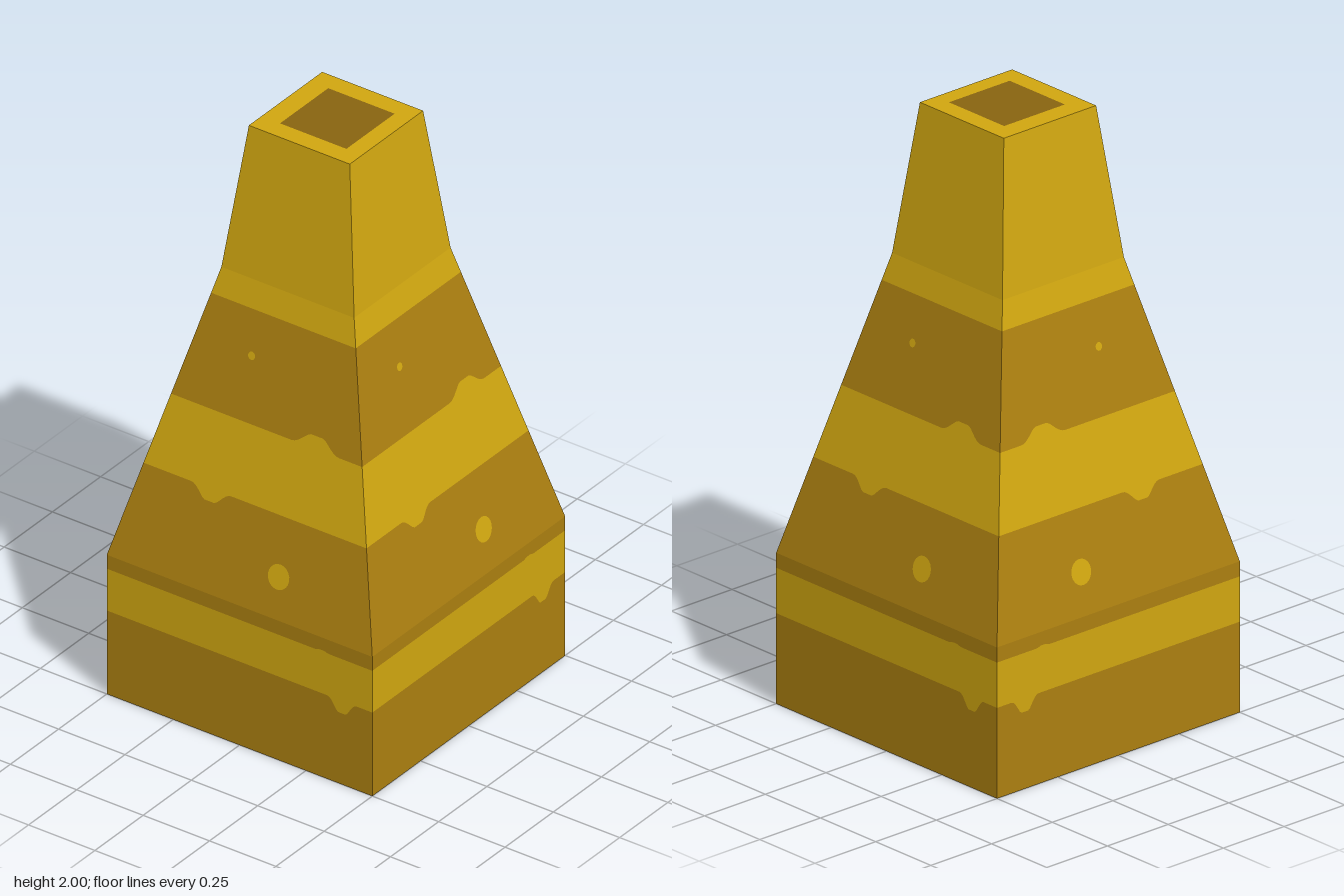
import * as THREE from 'three';

const mat = (name, color) => {
  const m = new THREE.MeshStandardMaterial({ color, side: THREE.DoubleSide });
  m.name = name;
  return m;
};

// Half width of the tower at height y
const half = (y) => {
  if (y <= 0.5) return 0.5;
  if (y <= 1.5) return 0.5 - 0.25 * (y - 0.5);
  return 0.25 - 0.12 * (y - 1.5);
};

// Stripe edges: base height, with an optional drip or bulge [centre, half span, height]
const edges = [
  { y: 0 },
  { y: 0.3, bump: [0.385, 0.055, -0.045] },
  { y: 0.45, bump: [0.31, 0.03, 0.005] },
  { y: 0.5 },
  { y: 0.82, bump: [-0.165, 0.075, -0.04] },
  { y: 1.06, bump: [0.183, 0.09, 0.04] },
  { y: 1.41 },
  { y: 1.5 },
  { y: 2 },
];

// Stripes between successive edges, some with a round spot [x, y, radius]
const stripes = [
  { colour: 'brown' },
  { colour: 'yellow' },
  { colour: 'brown' },
  { colour: 'brown', spot: [0.123, 0.632, 0.04] },
  { colour: 'yellow' },
  { colour: 'brown', spot: [-0.094, 1.267, 0.013] },
  { colour: 'yellow' },
  { colour: 'yellow' },
];

// Points along an edge from left to right
function edgePoints({ y, bump }, mirror) {
  const pts = [new THREE.Vector2(-half(y), y)];
  if (bump) {
    const [c, span, h] = bump;
    for (let i = 0; i <= 16; i++) {
      const t = (i / 8 - 1) * mirror;
      const rise = Math.min(1, 1.25 * Math.cos(t * Math.PI / 2) ** 2);
      pts.push(new THREE.Vector2(mirror * c + span * t * mirror * mirror, y + h * rise));
    }
    pts.sort((a, b) => a.x - b.x);
  }
  pts.push(new THREE.Vector2(half(y), y));
  return pts;
}

function circlePoints([x, y, r], mirror) {
  return Array.from({ length: 20 }, (_, i) => {
    const a = i / 20 * Math.PI * 2;
    return new THREE.Vector2(mirror * x + r * Math.cos(a), y + r * Math.sin(a));
  });
}

// Lean a flat shape onto the sloping wall
function wallMesh(shape, material, name) {
  const g = new THREE.ShapeGeometry(shape);
  const p = g.attributes.position;
  for (let i = 0; i < p.count; i++) p.setZ(i, half(p.getY(i)));
  g.computeVertexNormals();
  const mesh = new THREE.Mesh(g, material);
  mesh.name = name;
  return mesh;
}

function makeWall(name, angle, mirror, mats) {
  const wall = new THREE.Group();
  wall.name = name;
  stripes.forEach(({ colour, spot }, i) => {
    const outline = [...edgePoints(edges[i], mirror), ...edgePoints(edges[i + 1], mirror).reverse()];
    const shape = new THREE.Shape(outline);
    if (spot) {
      const ring = circlePoints(spot, mirror);
      shape.holes.push(new THREE.Path(ring));
      wall.add(wallMesh(new THREE.Shape(ring), mats.yellow, 'spot'));
    }
    wall.add(wallMesh(shape, mats[colour], colour + 'Stripe'));
  });
  wall.rotation.y = angle;
  return wall;
}

const rect = (x0, y0, x1, y1) => [
  new THREE.Vector2(x0, y0), new THREE.Vector2(x1, y0),
  new THREE.Vector2(x1, y1), new THREE.Vector2(x0, y1),
];

export function createModel() {
  const model = new THREE.Group();
  model.name = 'tower';
  const mats = {
    yellow: mat('honey yellow', 0xd0a610),
    brown: mat('amber brown', 0xab7f10),
    dark: mat('dark opening', 0x886410),
  };

  // Four hollow walls, open underneath
  model.add(makeWall('frontWall', 0, 1, mats));
  model.add(makeWall('leftWall', Math.PI / 2, 1, mats));
  model.add(makeWall('backWall', Math.PI, -1, mats));
  model.add(makeWall('rightWall', -Math.PI / 2, 1, mats));

  // Flat top with a dark square set into it
  const opening = rect(-0.125, -0.13, 0.125, 0.12);
  const rim = new THREE.Shape(rect(-0.19, -0.19, 0.19, 0.19));
  rim.holes.push(new THREE.Path(opening));
  for (const [name, shape, m] of [
    ['topRim', rim, mats.yellow],
    ['topOpening', new THREE.Shape(opening), mats.dark],
  ]) {
    const mesh = new THREE.Mesh(new THREE.ShapeGeometry(shape).rotateX(-Math.PI / 2), m);
    mesh.position.y = 2;
    mesh.name = name;
    model.add(mesh);
  }
  return model;
}
